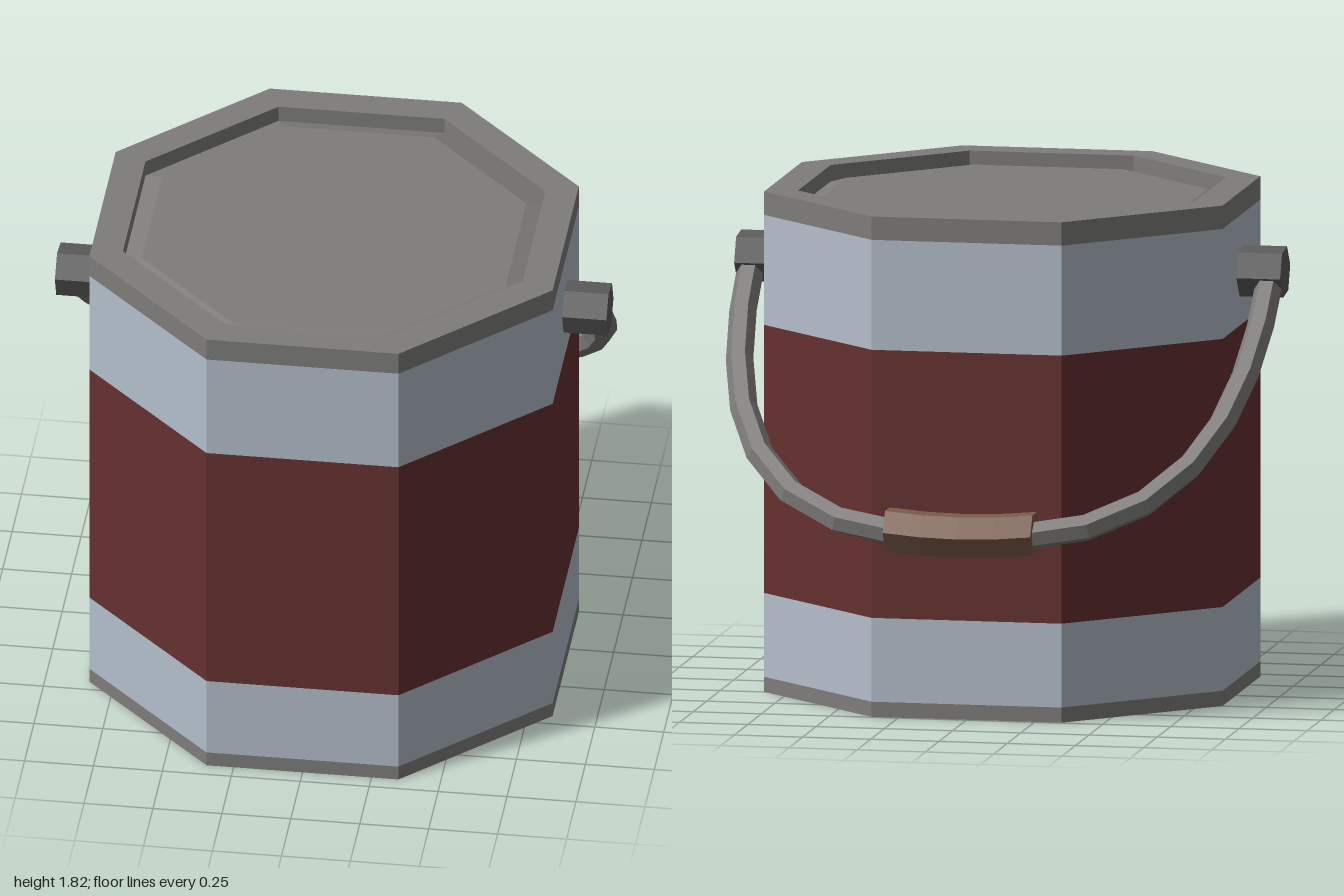
import * as THREE from 'three';

const material = (name, color) => {
  const m = new THREE.MeshStandardMaterial({ color });
  m.name = name;
  return m;
};

// Faceted normals for the low-poly look
function faceted(geometry) {
  const g = geometry.index ? geometry.toNonIndexed() : geometry;
  g.computeVertexNormals();
  return g;
}

export function createModel() {
  const metal = material('grey metal', 0x7e7d7b);
  const tin = material('pale tin', 0xb4bfcb);
  const label = material('dark red label', 0x663131);
  const dark = material('dark metal', 0x5c5c5c);
  const wood = material('brown grip', 0x7d5c4a);

  const model = new THREE.Group();
  model.name = 'paintCan';
  const add = (name, geometry, mat, parent = model) => {
    const mesh = new THREE.Mesh(faceted(geometry), mat);
    mesh.name = name;
    parent.add(mesh);
    return mesh;
  };

  // Eight-sided can; profile radii are measured to the flats
  const can = new THREE.Group();
  can.name = 'can';
  can.position.z = 0.1;
  model.add(can);
  const ring = (name, profile, mat) => {
    const k = 1 / Math.cos(Math.PI / 8);
    const pts = profile.map(([r, y]) => new THREE.Vector2(r * k, y));
    add(name, new THREE.LatheGeometry(pts, 8, Math.PI / 8), mat, can);
  };
  const R = 0.84;
  ring('base', [[0, 0], [R, 0], [R, 0.055]], metal);
  ring('lowerBand', [[R, 0.055], [R, 0.36]], tin);
  ring('label', [[R, 0.36], [R, 1.335]], label);
  ring('upperBand', [[R, 1.335], [R, 1.735]], tin);
  // Rim, groove and raised centre panel
  ring('lid', [[R, 1.735], [R, 1.82], [0.725, 1.82], [0.725, 1.76], [0.66, 1.78], [0, 1.78]], metal);

  // Hexagonal pivots on both sides
  const pivotY = 1.53, pivotZ = 0.1;
  for (const side of [1, -1]) {
    const g = new THREE.CylinderGeometry(0.095, 0.095, 0.2, 6);
    g.rotateZ(Math.PI / 2).rotateX(-0.14);
    add(side > 0 ? 'leftPivot' : 'rightPivot', g, dark).position.set(side * 0.9, pivotY, pivotZ);
  }

  // Bail hanging in a sloped plane behind the can
  const slope = 0.88;
  const onPlane = (x, z) => new THREE.Vector3(x, pivotY + (z - pivotZ) * slope, z);
  const half = [[0.95, 0.08], [0.95, -0.04], [0.935, -0.22], [0.87, -0.45], [0.755, -0.63], [0.58, -0.765], [0.35, -0.84]];
  const path = [
    ...half.map(([x, z]) => onPlane(x, z)),
    onPlane(0, -0.86),
    ...half.slice().reverse().map(([x, z]) => onPlane(-x, z)),
  ];
  add('bail', new THREE.TubeGeometry(new THREE.CatmullRomCurve3(path), 16, 0.05, 6), metal);

  // Hexagonal grip, bent to follow the bail
  const grip = new THREE.CylinderGeometry(0.085, 0.085, 0.54, 6, 4);
  grip.rotateZ(Math.PI / 2);
  const p = grip.attributes.position;
  for (let i = 0; i < p.count; i++) {
    const bend = 0.015 * (p.getX(i) / 0.27) ** 2;
    p.setY(i, p.getY(i) + bend * slope);
    p.setZ(i, p.getZ(i) + bend);
  }
  add('grip', grip, wood).position.copy(onPlane(0, -0.858));

  return model;
}
